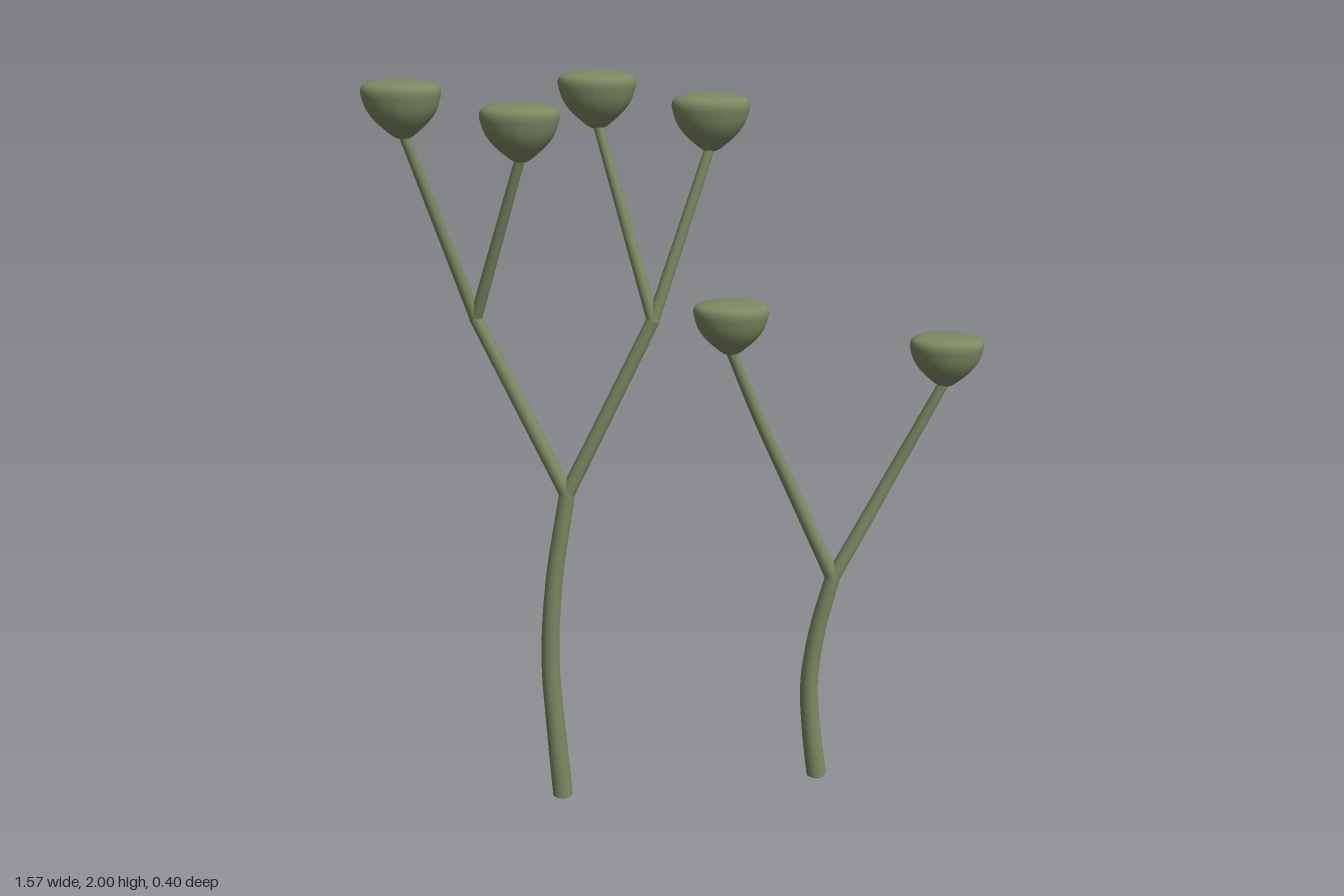
import * as THREE from 'three';

const green = new THREE.MeshStandardMaterial({ color: 0x7d8962 });
green.name = 'mossGreen';

// Tube along points that tapers from r0 to r1
function limb(name, points, r0, r1) {
  const path = new THREE.CatmullRomCurve3(points.map((p) => new THREE.Vector3(...p)));
  const rings = points.length > 2 ? 24 : 4, sides = 16;
  const geo = new THREE.TubeGeometry(path, rings, 1, sides);
  const pos = geo.attributes.position, v = new THREE.Vector3();
  for (let i = 0; i <= rings; i++) {
    const c = path.getPointAt(i / rings), r = r0 + (r1 - r0) * i / rings;
    for (let j = 0; j <= sides; j++) {
      const k = i * (sides + 1) + j;
      v.fromBufferAttribute(pos, k).sub(c).multiplyScalar(r).add(c);
      pos.setXYZ(k, v.x, v.y, v.z);
    }
  }
  const mesh = new THREE.Mesh(geo, green);
  mesh.name = name;
  return mesh;
}

// Rounded knob, used at forks and to close the stem feet
function knob(name, p, r, flat = 1) {
  const mesh = new THREE.Mesh(new THREE.SphereGeometry(r, 16, 12), green);
  mesh.name = name;
  mesh.position.set(...p);
  mesh.scale.y = flat;
  return mesh;
}

// Oval cup-shaped cap with a gently domed top
const capProfile = new THREE.SplineCurve([
  [0, 0], [0.2, 0.006], [0.42, 0.022], [0.7, 0.048], [0.88, 0.074], [0.97, 0.1],
  [1, 0.117], [0.95, 0.131], [0.78, 0.139], [0.45, 0.144], [0, 0.146],
].map(([x, y]) => new THREE.Vector2(x, y))).getPoints(30);
capProfile[0].x = capProfile[30].x = 0;
const capGeo = new THREE.LatheGeometry(capProfile, 32);
capGeo.scale(0.098, 1, 0.071);
capGeo.computeVertexNormals();

function cap(x, top, z) {
  const mesh = new THREE.Mesh(capGeo, green);
  mesh.name = 'cap';
  mesh.position.set(x, top - 0.146, z);
  return mesh;
}

export function createModel() {
  const model = new THREE.Group();
  model.name = 'branchingStalks';

  // Tall stalk: one stem, two branches, four capped twigs
  const tall = new THREE.Group();
  tall.name = 'tallStalk';
  const fork = [-0.315, 0.91, 0.068];
  tall.add(
    limb('stem', [[-0.347, 0.008, 0.074], [-0.36, 0.2, 0.074], [-0.371, 0.43, 0.074],
      [-0.355, 0.66, 0.073], fork], 0.028, 0.021),
    knob('stemFoot', [-0.347, 0.008, 0.074], 0.028, 0.28),
    knob('stemFork', fork, 0.021));
  const branches = [
    { end: [-0.543, 1.38, 0.038], tips: [[-0.687, 2, 0.128], [-0.401, 1.945, 0.128]] },
    { end: [-0.086, 1.38, 0.04], tips: [[-0.228, 2, -0.043], [0.057, 1.945, -0.043]] },
  ];
  for (const { end, tips } of branches) {
    tall.add(limb('branch', [fork, end], 0.02, 0.017), knob('branchFork', end, 0.017));
    for (const [x, top, z] of tips) {
      tall.add(limb('twig', [end, [x, top - 0.13, z]], 0.016, 0.0125), cap(x, top, z));
    }
  }

  // Short stalk: one stem and two capped, bowed branches
  const short = new THREE.Group();
  short.name = 'shortStalk';
  const fork2 = [0.398, 0.62, -0.075];
  short.add(
    limb('stem', [[0.368, 0.008, -0.07], [0.35, 0.15, -0.07], [0.341, 0.3, -0.07],
      [0.36, 0.46, -0.071], fork2], 0.028, 0.021),
    knob('stemFoot', [0.368, 0.008, -0.07], 0.028, 0.28),
    knob('stemFork', fork2, 0.021),
    limb('branch', [fork2, [0.273, 0.9, -0.062], [0.186, 1.1, -0.038], [0.112, 1.29, -0.013]], 0.02, 0.014),
    cap(0.113, 1.42, -0.013),
    limb('branch', [fork2, [0.468, 0.75, -0.095], [0.547, 0.9, -0.119], [0.684, 1.175, -0.128]], 0.02, 0.014),
    cap(0.684, 1.305, -0.128));

  model.add(tall, short);
  return model;
}
